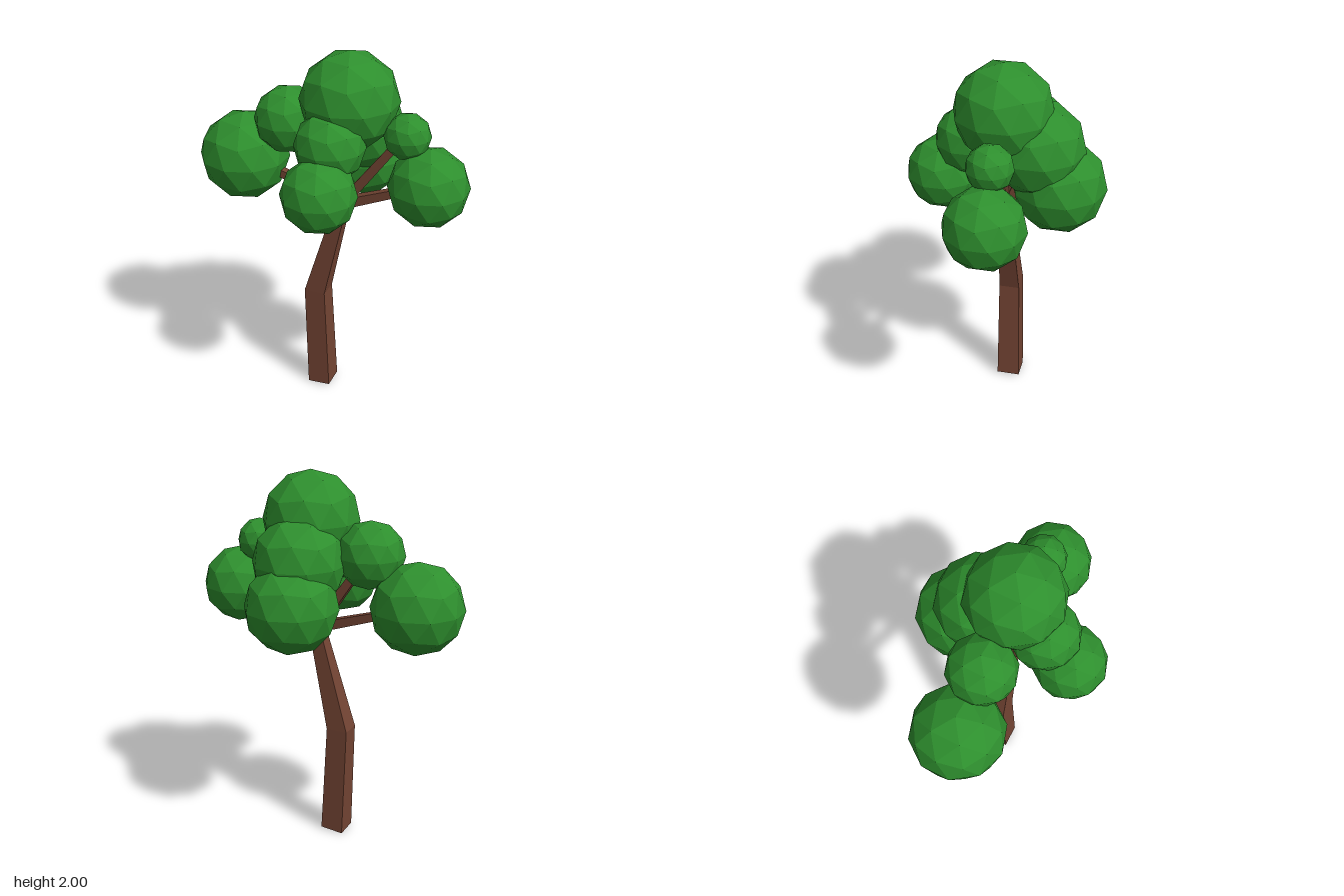
import * as THREE from 'three';

const bark = new THREE.MeshStandardMaterial({ color: 0x734433, flatShading: true });
const leaf = new THREE.MeshStandardMaterial({ color: 0x2e8f2e, flatShading: true });

function add(group, name, geometry, material) {
  const mesh = new THREE.Mesh(geometry, material);
  mesh.name = name;
  group.add(mesh);
  return mesh;
}

// Square trunk: a box whose three levels are shifted and tapered
function trunkGeometry() {
  const levels = [ // centre x, y, half width, half depth
    [-0.05, 0.005, 0.063, 0.063],
    [-0.075, 0.625, 0.058, 0.055],
    [0.067, 1.18, 0.034, 0.032],
  ];
  const geo = new THREE.BoxGeometry(2, 2, 2, 1, 2, 1);
  const p = geo.attributes.position;
  for (let i = 0; i < p.count; i++) {
    const [cx, y, w, d] = levels[Math.round(p.getY(i)) + 1];
    const tilt = y < 0.1 ? p.getX(i) * 0.005 : 0; // slightly slanted foot
    p.setXYZ(i, cx + p.getX(i) * w, y + tilt, p.getZ(i) * d);
  }
  geo.computeVertexNormals();
  return geo;
}

// Tapered square branch between two points
function branchGeometry(from, to, r0, r1) {
  const dir = to.clone().sub(from);
  const geo = new THREE.CylinderGeometry(r1, r0, dir.length(), 4);
  geo.rotateY(Math.PI / 4);
  geo.translate(0, dir.length() / 2, 0);
  geo.applyQuaternion(new THREE.Quaternion().setFromUnitVectors(
    new THREE.Vector3(0, 1, 0), dir.normalize()));
  geo.translate(from.x, from.y, from.z);
  return geo;
}

export function createModel() {
  const tree = new THREE.Group();
  tree.name = 'tree';

  add(tree, 'trunk', trunkGeometry(), bark);

  // Branches fan out from the trunk top
  const hub = new THREE.Vector3(0.067, 1.18, 0);
  const branches = {
    rightLowBranch: [-0.29, 1.295, 0],
    leftLowBranch: [0.36, 1.3, 0],
    rightHighBranch: [-0.17, 1.52, 0],
    leftHighBranch: [0.35, 1.56, 0],
    frontLowBranch: [0.067, 1.3, 0.25],
    backLowBranch: [0.067, 1.3, -0.22],
    frontHighBranch: [0.067, 1.5, 0.13],
    backHighBranch: [0.075, 1.5, -0.13],
    topBranch: [0.09, 1.6, 0],
  };
  for (const [name, end] of Object.entries(branches))
    add(tree, name, branchGeometry(hub, new THREE.Vector3(...end), 0.038, 0.029), bark);

  // Faceted ball standing on a corner, shared by all leaf clumps
  const ball = new THREE.IcosahedronGeometry(1, 1);
  ball.rotateX(-Math.atan((1 + Math.sqrt(5)) / 2));
  ball.rotateY(Math.PI / 2);

  const clumps = { // x, y, z, radius
    topFoliage: [0.098, 1.75, 0, 0.25],
    rightLowFoliage: [-0.49, 1.36, 0, 0.238],
    rightHighFoliage: [-0.234, 1.6, 0, 0.175],
    leftLowFoliage: [0.52, 1.36, 0, 0.205],
    leftHighFoliage: [0.4, 1.61, 0, 0.117],
    frontLowFoliage: [0.068, 1.375, 0.318, 0.19],
    frontHighFoliage: [0.067, 1.573, 0.175, 0.178],
    backLowFoliage: [0.068, 1.365, -0.273, 0.24],
    backHighFoliage: [0.08, 1.566, -0.163, 0.24],
  };
  for (const [name, [x, y, z, r]] of Object.entries(clumps)) {
    const clump = add(tree, name, ball, leaf);
    clump.position.set(x, y, z);
    clump.scale.setScalar(r);
  }
  return tree;
}
